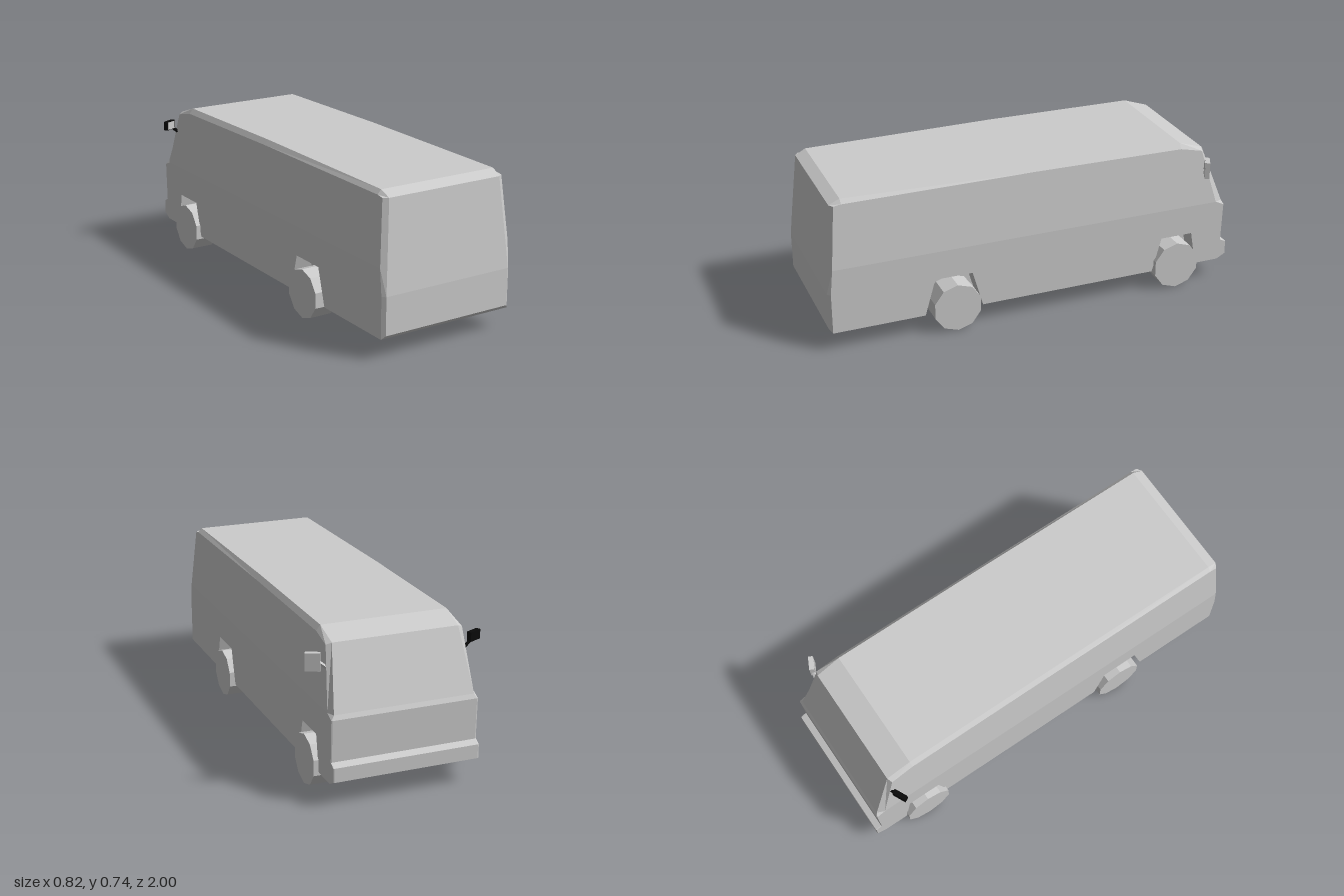
import * as THREE from 'three';

const V = (x, y, z) => new THREE.Vector3(x, y, z);

// Collects flat faces; each triangle is turned to face along its hint direction.
function faceSet() {
  const pos = [];
  const tri = (a, b, c, hint) => {
    const n = b.clone().sub(a).cross(c.clone().sub(a));
    const list = n.dot(hint) < 0 ? [a, c, b] : [a, b, c];
    list.forEach(p => pos.push(p.x, p.y, p.z));
  };
  const quad = (a, b, c, d, hint) => { tri(a, b, c, hint); tri(a, c, d, hint); };
  // outline is in 2D; map turns each outline point into a 3D point
  const panel = (outline, map, hint) => {
    const pts = outline.map(p => new THREE.Vector2(p[0], p[1]));
    for (const f of THREE.ShapeUtils.triangulateShape(pts, []))
      tri(...f.map(i => map(pts[i].x, pts[i].y)), hint);
  };
  const mesh = (name, material) => {
    const g = new THREE.BufferGeometry();
    g.setAttribute('position', new THREE.Float32BufferAttribute(pos, 3));
    g.computeVertexNormals();
    const m = new THREE.Mesh(g, material);
    m.name = name;
    return m;
  };
  return { quad, panel, mesh };
}

const FLOOR = 0.097, BELT = 0.41, SIDE = 0.34, WELL = 0.25;
const halfWidth = y => SIDE - Math.max(0, y - BELT) * 0.09;

// Rows run from rear bottom over the roof to the nose bottom:
// [centre z, centre y, centre half width, side z, side y]
const ROWS = [
  [0.985, FLOOR, SIDE, 0.985, FLOOR],
  [1.0, 0.115, 0.325, 0.985, FLOOR],
  [1.0, 0.29, 0.325, 0.985, 0.29],
  [0.989, BELT, 0.315, 0.973, BELT],
  [0.96, 0.705, 0.29, 0.945, 0.705],
  [0.91, 0.73, 0.295, 0.91, 0.71],
  [0, 0.736, 0.295, 0, 0.712],
  [-0.74, 0.73, 0.295, -0.74, 0.705],
  [-0.86, 0.69, 0.292, -0.85, 0.68],
  [-0.965, BELT, 0.325, -0.93, BELT],
  [-0.975, 0.39, 0.335, -0.973, 0.39],
  [-0.97, 0.2, 0.335, -0.968, 0.2],
  [-1.0, 0.185, 0.335, -0.998, 0.185],
  [-1.0, 0.12, 0.335, -0.998, 0.12],
  [-0.955, FLOOR, SIDE, -0.955, FLOOR],
];

// Wheel arches as [z, y], rear edge first
const ARCHES = [
  [[0.55, FLOOR], [0.5, 0.272], [0.32, 0.272], [0.27, FLOOR]],
  [[-0.6, FLOOR], [-0.645, 0.265], [-0.805, 0.265], [-0.835, FLOOR]],
];

function buildBody(material) {
  const f = faceSet();
  const sidePts = ROWS.map(r => [r[3], r[4]]);

  // Rear, roof, windscreen, nose and bumper with their corner bevels
  for (let i = 0; i < ROWS.length - 1; i++) {
    const [az, ay, ax, bz, by] = ROWS[i];
    const [cz, cy, cx, dz, dy] = ROWS[i + 1];
    const out = V(0, az - cz, cy - ay);
    f.quad(V(-ax, ay, az), V(ax, ay, az), V(cx, cy, cz), V(-cx, cy, cz), out);
    for (const s of [-1, 1]) {
      f.quad(V(s * ax, ay, az), V(s * halfWidth(by), by, bz),
        V(s * halfWidth(dy), dy, dz), V(s * cx, cy, cz),
        out.clone().normalize().add(V(s, 0, 0)));
    }
  }

  for (const s of [-1, 1]) {
    const out = V(s, 0, 0);
    const onSide = (z, y) => V(s * halfWidth(y), y, z);
    // Side above and below the belt line
    f.panel(sidePts.slice(3, 10), onSide, out);
    const notches = [...ARCHES].reverse().flatMap(a => [...a].reverse());
    f.panel([...sidePts.slice(9), ...notches, ...sidePts.slice(1, 4)], onSide, out);
    // Floor half, cut out at the wheels
    const cuts = ARCHES.flatMap(a =>
      [[a[0][0], SIDE], [a[0][0], WELL], [a[3][0], WELL], [a[3][0], SIDE]]);
    f.panel([[0.985, 0], [0.985, SIDE], ...cuts, [-0.955, SIDE], [-0.955, 0]],
      (z, x) => V(s * x, FLOOR, z), V(0, -1, 0));
    // Wheel wells
    for (const a of ARCHES) {
      f.panel(a, (z, y) => V(s * WELL, y, z), out);
      const midZ = (a[0][0] + a[3][0]) / 2;
      for (let i = 0; i < 3; i++) {
        const [z0, y0] = a[i], [z1, y1] = a[i + 1];
        f.quad(V(s * WELL, y0, z0), V(s * SIDE, y0, z0), V(s * SIDE, y1, z1), V(s * WELL, y1, z1),
          V(0, 0.1 - (y0 + y1) / 2, midZ - (z0 + z1) / 2));
      }
    }
  }
  return f.mesh('body', material);
}

function buildMirror(s, height, y, shell, glass) {
  const g = new THREE.Group();
  g.name = s > 0 ? 'leftMirror' : 'rightMirror';
  const head = new THREE.Group();
  head.name = 'mirrorHead';
  const box = new THREE.Mesh(new THREE.BoxGeometry(0.065, height, 0.022), shell);
  box.name = 'mirrorShell';
  const pane = new THREE.Mesh(new THREE.BoxGeometry(0.052, height - 0.006, 0.004), glass);
  pane.name = 'mirrorPane';
  pane.position.z = 0.011;
  head.add(box, pane);
  head.position.set(s * 0.374, y, -0.85);
  head.rotation.y = -s * 0.45;

  // Arm from the pillar to the head
  const a = V(s * 0.318, 0.586, -0.868), b = V(s * 0.352, 0.613, -0.858);
  const arm = new THREE.Mesh(new THREE.CylinderGeometry(0.008, 0.008, a.distanceTo(b), 4), shell);
  arm.name = 'mirrorArm';
  arm.position.copy(a).lerp(b, 0.5);
  arm.quaternion.setFromUnitVectors(V(0, 1, 0), b.clone().sub(a).normalize());
  g.add(head, arm);
  return g;
}

export function createModel() {
  const grey = new THREE.MeshStandardMaterial({ color: 0xcccccc });
  grey.name = 'light grey';
  grey.flatShading = true;
  const black = new THREE.MeshStandardMaterial({ color: 0x0a0a0a });
  black.name = 'black';
  black.flatShading = true;

  const van = new THREE.Group();
  van.name = 'van';
  van.add(buildBody(grey));

  // Ten-sided wheels
  const wheelGeo = new THREE.CylinderGeometry(0.117, 0.117, 0.11, 10, 1, false, Math.PI / 2)
    .rotateZ(Math.PI / 2).toNonIndexed();
  wheelGeo.computeVertexNormals();
  for (const [end, z] of [['rear', 0.4], ['front', -0.72]]) {
    for (const s of [-1, 1]) {
      const wheel = new THREE.Mesh(wheelGeo, grey);
      wheel.name = end + 'Wheel';
      wheel.position.set(s * 0.3075, 0.118, z);
      van.add(wheel);
    }
  }

  van.add(buildMirror(1, 0.08, 0.614, grey, grey));
  van.add(buildMirror(-1, 0.043, 0.632, black, grey));
  return van;
}
